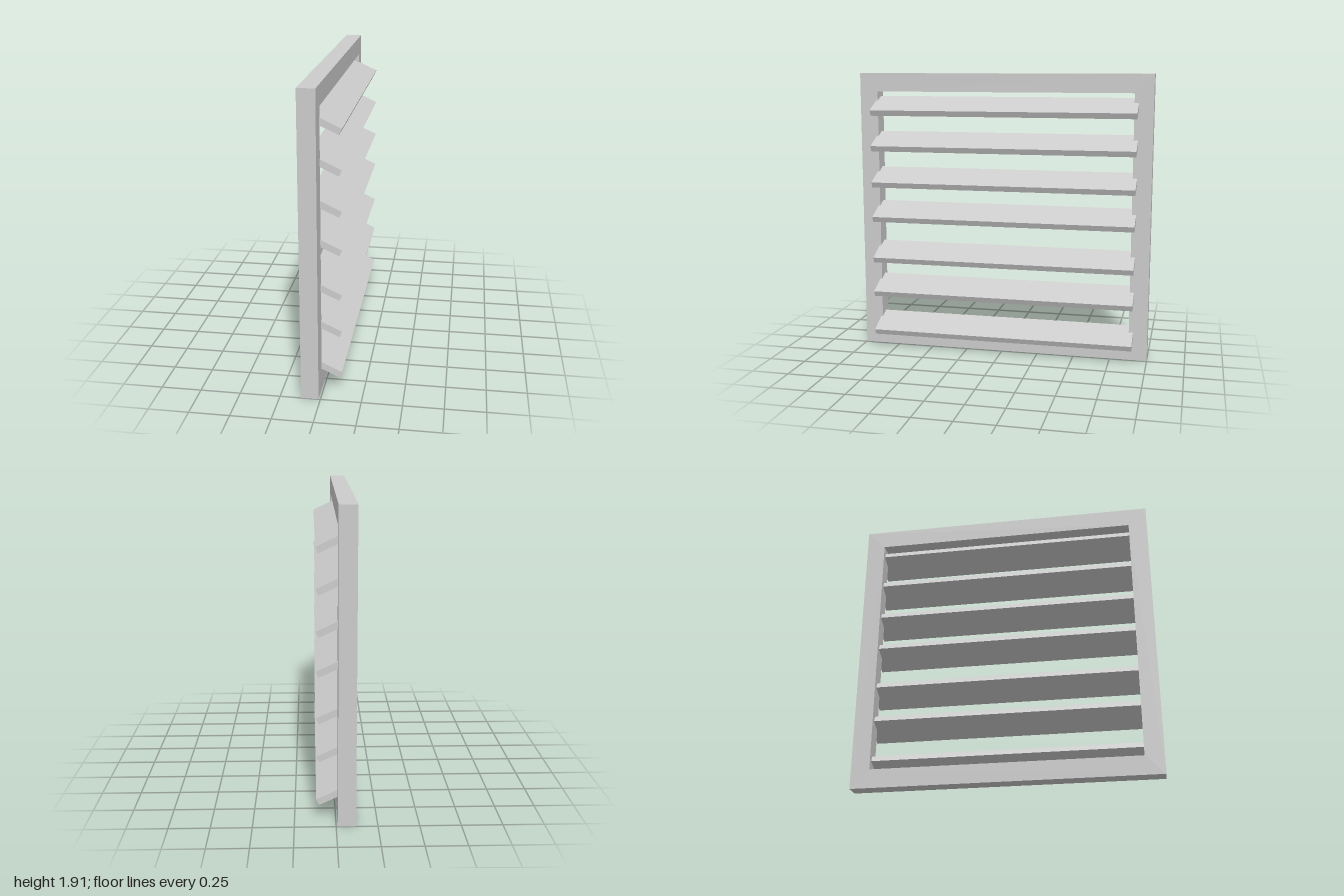
import * as THREE from 'three';

export function createModel() {
  const group = new THREE.Group();
  const material = new THREE.MeshStandardMaterial({ color: 0xcccccc, flatShading: true });

  // Rectangular frame with an open middle, standing in the z-y plane
  const height = 1.915, depth = 0.108, border = 0.124, backX = -0.119;
  const rect = (Path, x0, y0, x1, y1) => new Path([
    new THREE.Vector2(x0, y0), new THREE.Vector2(x1, y0),
    new THREE.Vector2(x1, y1), new THREE.Vector2(x0, y1),
  ]);
  const outline = rect(THREE.Shape, -1, 0, 1, height);
  outline.holes.push(rect(THREE.Path, -1 + border, border, 1 - border, height - border));
  const frameGeometry = new THREE.ExtrudeGeometry(outline, { depth, bevelEnabled: false });
  frameGeometry.rotateY(Math.PI / 2);
  const frame = new THREE.Mesh(frameGeometry, material);
  frame.name = 'frame';
  frame.position.x = backX;
  group.add(frame);

  // Unevenly spaced louvre slats, tilted down and outward, let into the frame
  const slats = new THREE.Group();
  slats.name = 'slats';
  const slatGeometry = new THREE.BoxGeometry(0.214, 0.041, 1.793);
  [0.16, 0.436, 0.677, 0.964, 1.204, 1.453, 1.695].forEach((y, i) => {
    const slat = new THREE.Mesh(slatGeometry, material);
    slat.name = `slat${i + 1}`;
    slat.position.set(0.0125, y, -0.008);
    slat.rotation.z = THREE.MathUtils.degToRad(-25);
    slats.add(slat);
  });
  group.add(slats);

  return group;
}
